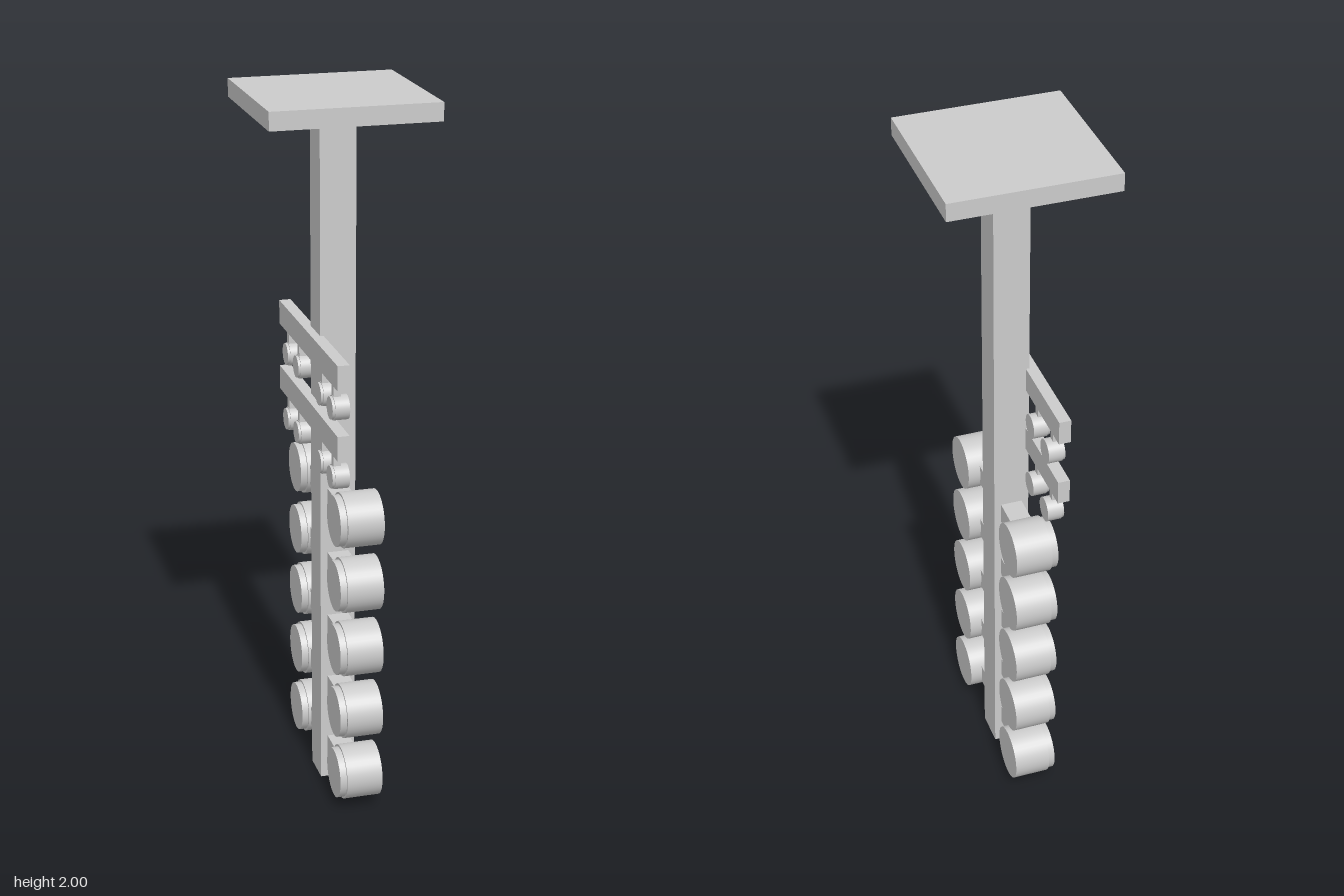
import * as THREE from 'three';

const material = new THREE.MeshStandardMaterial({ color: 0xcccccc });

export function createModel() {
  const model = new THREE.Group();

  // Axis-aligned box given by its centre and size
  function box(name, [x, y, z], [w, h, d], parent = model) {
    const mesh = new THREE.Mesh(new THREE.BoxGeometry(w, h, d), material);
    mesh.name = name;
    mesh.position.set(x, y, z);
    parent.add(mesh);
  }

  // Cylinder lying along x, from x0 to x1
  function drum(name, x0, x1, y, z, radius, parent) {
    const geometry = new THREE.CylinderGeometry(radius, radius, x1 - x0, 40);
    geometry.rotateZ(Math.PI / 2);
    const mesh = new THREE.Mesh(geometry, material);
    mesh.name = name;
    mesh.position.set((x0 + x1) / 2, y, z);
    parent.add(mesh);
  }

  // Post and square top plate
  box('post', [0, 0.98, 0], [0.1, 1.96, 0.1]);
  box('topPlate', [0, 1.975, 0], [0.46, 0.05, 0.46]);

  // Five pairs of large lamps, each on a short side arm
  for (let i = 0; i < 5; i++) {
    const y = 0.101 + i * 0.1925;
    for (const side of [-1, 1]) {
      const lamp = new THREE.Group();
      lamp.name = 'largeLamp';
      box('arm', [0, y, side * 0.1], [0.06, 0.06, 0.12], lamp);
      drum('lampBody', -0.037, 0.065, y, side * 0.21, 0.077, lamp);
      drum('lampBackCap', -0.056, -0.03, y, side * 0.21, 0.071, lamp);
      model.add(lamp);
    }
  }

  // Two cross rails on the back of the post with hanging small lamps
  for (const y of [1.115, 1.31]) {
    box('crossRail', [-0.057, y, 0], [0.033, 0.069, 0.618]);
    for (const z of [-0.237, -0.12, 0.12, 0.237]) {
      const lamp = new THREE.Group();
      lamp.name = 'smallLamp';
      box('stem', [-0.057, y - 0.06, z], [0.02, 0.06, 0.02], lamp);
      drum('lampBody', -0.068, -0.028, y - 0.104, z, 0.034, lamp);
      drum('lampBackCap', -0.075, -0.06, y - 0.104, z, 0.031, lamp);
      model.add(lamp);
    }
  }

  return model;
}
